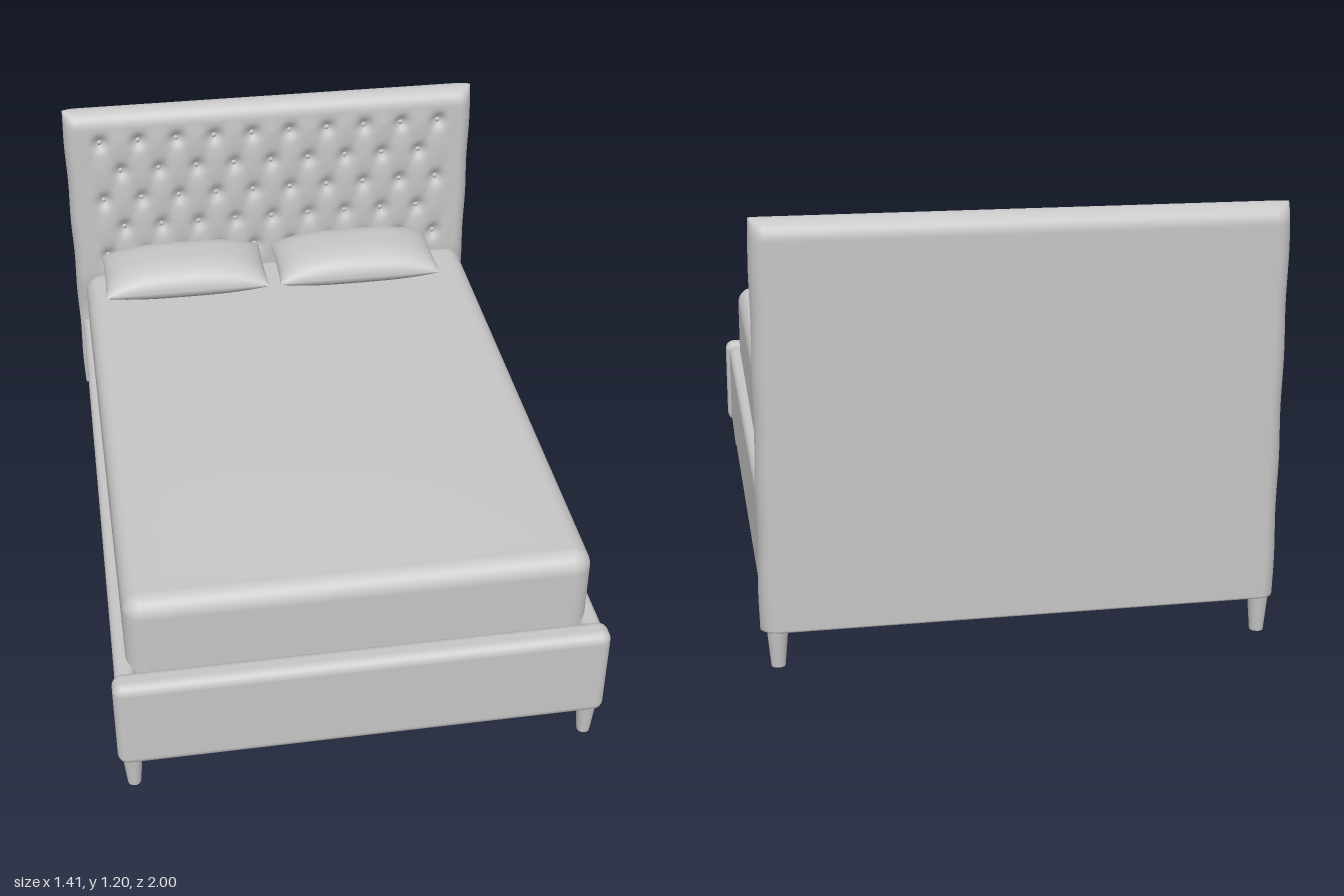
import * as THREE from 'three';
import { mergeGeometries } from 'three/addons/utils/BufferGeometryUtils.js';
import { RoundedBoxGeometry } from 'three/addons/geometries/RoundedBoxGeometry.js';

const { smoothstep } = THREE.MathUtils;

// Quarter-round edge profile: 0 at the edge, 1 once d reaches r
const edge = (d, r) => Math.sqrt(Math.max(0, 1 - (1 - Math.min(d / r, 1)) ** 2));

// Two grid sheets meeting at an outline; fn(u, v, side) returns [x, y, thickness]
function cushion(fn, nx, ny) {
  const sheets = [1, -1].map((side) => {
    const g = new THREE.PlaneGeometry(2, 2, nx, ny);
    const p = g.attributes.position;
    for (let i = 0; i < p.count; i++) {
      // points gather towards the rounded edges
      const u = Math.sin(p.getX(i) * Math.PI / 2) * side;
      const v = Math.sin(p.getY(i) * Math.PI / 2);
      const [x, y, t] = fn(u, v, side);
      p.setXYZ(i, x, y, side * t);
    }
    g.computeVertexNormals();
    return g;
  });
  return mergeGeometries(sheets);
}

// Staggered button positions on the headboard
const STEP = 0.13, ROW = 0.109;
const buttons = [];
for (let r = 0; r < 5; r++) {
  const n = r % 2 ? 9 : 10;
  for (let i = 0; i < n; i++) buttons.push([(i - (n - 1) / 2) * STEP, 1.09 - r * ROW]);
}

// Depth of the tufted front: soft puffs between diagonal folds, dimples at buttons
function tuft(x, y) {
  const p = x / STEP, q = (y - (1.09 - ROW)) / (2 * ROW);
  const mask = (1 - smoothstep(Math.abs(x), 0.58, 0.67)) *
    smoothstep(y, 0.58, 0.65) * (1 - smoothstep(y, 1.09, 1.16));
  const puff = Math.abs(Math.sin(Math.PI * (p + q)) * Math.sin(Math.PI * (p - q)));
  let z = mask * 0.005 * puff;
  for (const [bx, by] of buttons) {
    const d2 = (x - bx) ** 2 + (y - by) ** 2;
    if (d2 < 0.01) z -= 0.02 * Math.exp(-d2 / 0.0006);
  }
  return z;
}

export function createModel() {
  const bed = new THREE.Group();
  bed.name = 'bed';
  const fabric = new THREE.MeshStandardMaterial({ color: 0xc6c6c6 });
  fabric.name = 'grey';

  const add = (name, geometry, x = 0, y = 0, z = 0, parent = bed) => {
    const m = new THREE.Mesh(geometry, fabric);
    m.name = name;
    m.position.set(x, y, z);
    parent.add(m);
    return m;
  };
  const group = (name) => {
    const g = new THREE.Group();
    g.name = name;
    bed.add(g);
    return g;
  };

  // Headboard: padded slab with a tufted front that thins below the mattress
  add('headboard', cushion((u, v, side) => {
    const x = 0.706 * u, y = 0.648 + 0.55 * v;
    const round = edge(0.706 - Math.abs(x), 0.045) * edge(1.198 - y, 0.055) * edge(y - 0.098, 0.012);
    let t = 0.055;
    if (side > 0) t += tuft(x, y) - 0.028 * (1 - smoothstep(y, 0.4, 0.6));
    const wave = 1 - 0.002 * (1 + Math.sin(y * 22));
    return [x * wave, y, t * round];
  }, 170, 130), 0.002, 0, -0.945);

  // Headboard buttons
  const buttonGroup = group('headboardButtons');
  const buttonShape = new THREE.SphereGeometry(0.009, 12, 8).scale(1, 1, 0.7);
  for (const [x, y] of buttons) add('button', buttonShape, x, y, -0.908, buttonGroup);

  // Footboard
  add('footboard', new RoundedBoxGeometry(1.405, 0.297, 0.08, 5, 0.03), 0.001, 0.2465, 0.96);

  // Side rails and tapered legs
  const rail = new RoundedBoxGeometry(0.06, 0.288, 1.9, 5, 0.024);
  const leg = new THREE.CylinderGeometry(0.029, 0.019, 0.11, 24);
  for (const s of [1, -1]) {
    add('sideRail', rail, s * 0.662, 0.242, 0);
    for (const z of [0.96, -0.958]) add('leg', leg, s * 0.661, 0.055, z);
  }

  // Slats resting in end holders on the rails
  const slats = group('slats');
  const slat = new RoundedBoxGeometry(1.27, 0.03, 0.055, 4, 0.012);
  const holder = new THREE.BoxGeometry(0.04, 0.034, 0.062);
  const count = 16;
  for (let i = 0; i < count; i++) {
    const z = -0.85 + i * 1.69 / (count - 1);
    add('slat', slat, 0, 0.155, z, slats);
    for (const s of [1, -1]) add('slatHolder', holder, s * 0.62, 0.155, z, slats);
  }

  // Mattress: a little wider at the head, with a sloping head end
  const mattress = new RoundedBoxGeometry(1.32, 0.445, 1.815, 6, 0.055);
  const mp = mattress.attributes.position;
  for (let i = 0; i < mp.count; i++) {
    const z = mp.getZ(i);
    mp.setX(i, mp.getX(i) * (1.005 - 0.012 * z));
    if (z < 0 && mp.getY(i) > 0) mp.setZ(i, z + 0.03);
  }
  add('mattress', mattress, 0, 0.3925, 0.0075);

  // Softly crowned mattress top, highest towards the foot
  const crown = new THREE.PlaneGeometry(1.22, 1.66, 40, 50);
  const cp = crown.attributes.position;
  for (let i = 0; i < cp.count; i++) {
    const x = cp.getX(i), y = cp.getY(i);
    const a = 1 - (x / 0.61) ** 2, b = 1 - (y / 0.83) ** 2;
    cp.setZ(i, 0.016 * a * b * (1 - 0.8 * y) - 0.001);
  }
  crown.computeVertexNormals();
  crown.rotateX(-Math.PI / 2);
  add('mattressTop', crown, 0, 0.6155, 0.03);

  // Pillows: full in the middle, thinning to a seam with pointed corners
  const pillow = cushion((u, v, side) => {
    const full = Math.pow((1 - Math.abs(u) ** 2.8) * (1 - Math.abs(v) ** 3), 0.52);
    const x = 0.278 * u * (1 - 0.015 * (1 - v * v));
    const y = 0.143 * v * (1 - 0.015 * (1 - u * u));
    return [x, y, (side > 0 ? 0.08 : 0.05) * full];
  }, 40, 30);
  pillow.rotateX(-Math.PI / 2);
  for (const x of [-0.33, 0.265]) add('pillow', pillow, x, 0.665, -0.73);

  return bed;
}
